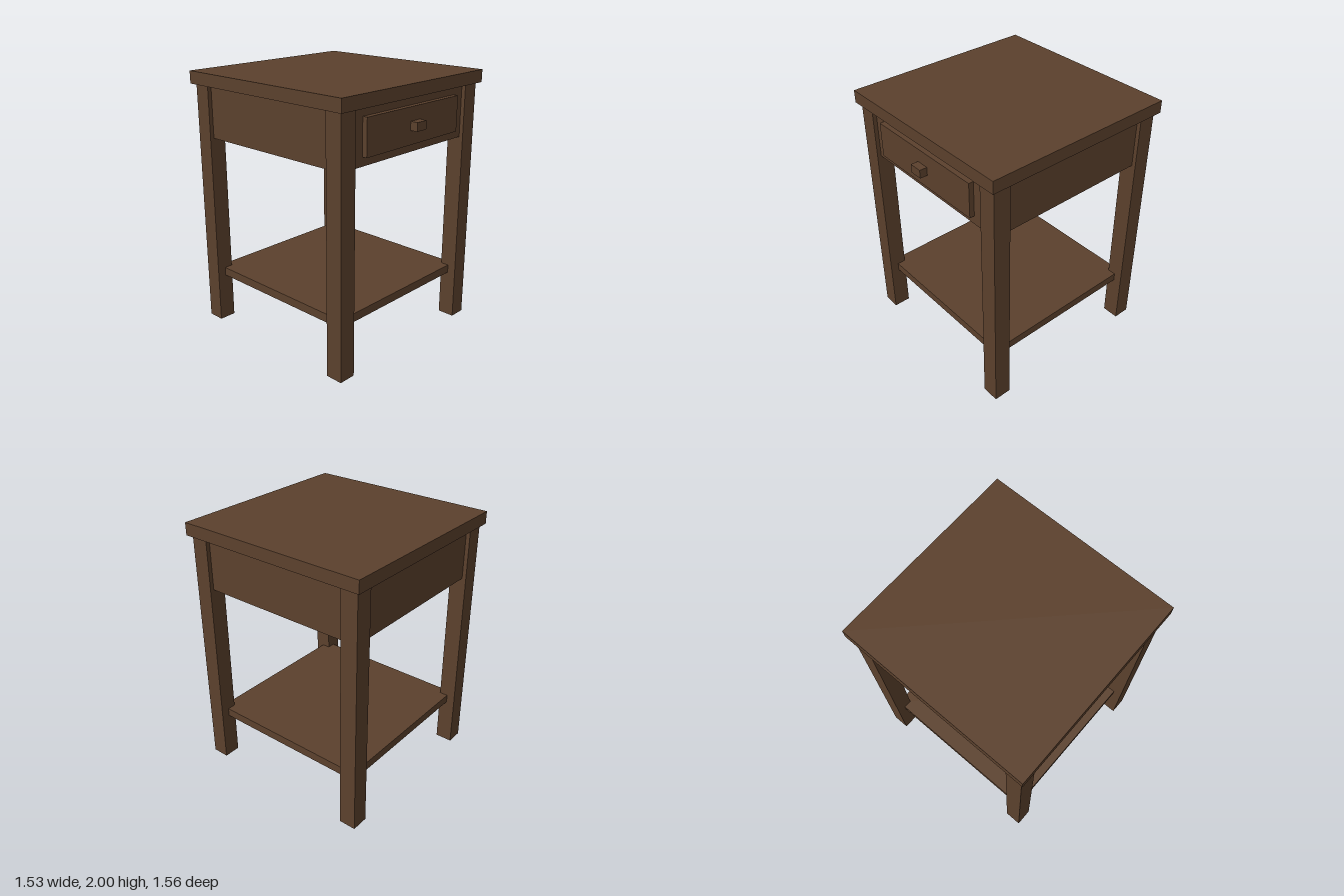
import * as THREE from 'three';

export function createModel() {
  const group = new THREE.Group();
  group.name = 'sideTable';
  const wood = new THREE.MeshStandardMaterial({ color: 0x5c412d });
  wood.name = 'dark brown wood';

  // Box given by its size and centre in x and z, with its underside at y
  const addBox = (name, [w, h, d], [x, y, z]) => {
    const mesh = new THREE.Mesh(new THREE.BoxGeometry(w, h, d), wood);
    mesh.name = name;
    mesh.position.set(x, y + h / 2, z);
    group.add(mesh);
  };

  // The knob sticks out in front, so the table sits slightly back
  const zc = -0.016;

  addBox('tableTop', [1.53, 0.095, 1.53], [0, 1.905, zc]);
  addBox('drawerCase', [1.405, 0.4, 1.405], [0, 1.505, zc]);
  addBox('lowerShelf', [1.333, 0.065, 1.333], [0, 0.37, zc]);

  // Four square legs
  for (const [side, sx] of [['Left', 1], ['Right', -1]]) {
    for (const [end, sz] of [['front', 1], ['back', -1]]) {
      addBox(`${end}${side}Leg`, [0.133, 1.905, 0.133], [sx * 0.667, 0, zc + sz * 0.667]);
    }
  }

  // Drawer front and knob
  addBox('drawerFront', [1, 0.268, 0.044], [0, 1.57, 0.702]);
  addBox('drawerKnob', [0.1, 0.064, 0.064], [0, 1.673, 0.75]);

  return group;
}
